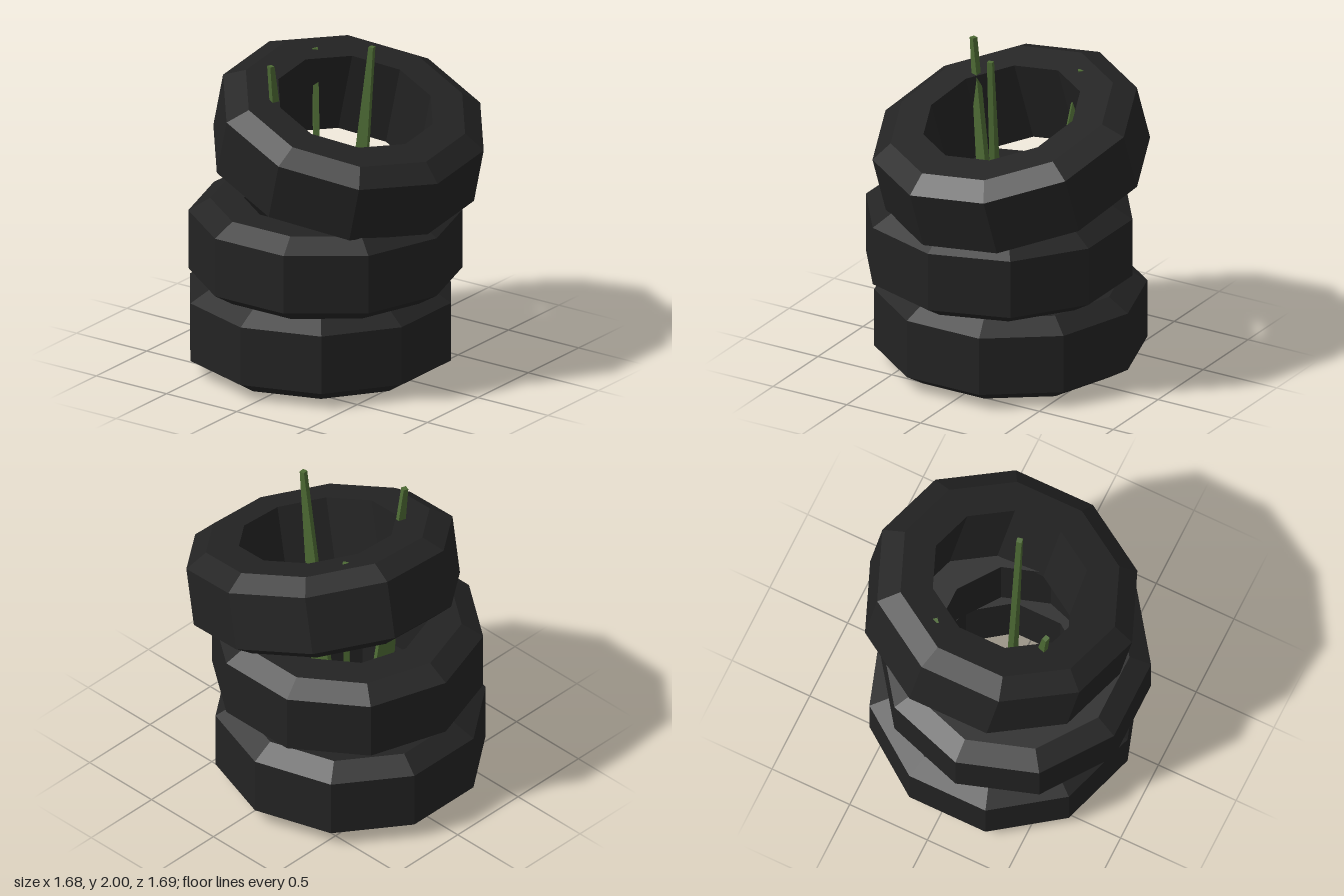
import * as THREE from 'three';

const rubber = new THREE.MeshStandardMaterial({ color: 0x232323 });
rubber.name = 'black rubber';
const leaf = new THREE.MeshStandardMaterial({ color: 0x4d6a34 });
leaf.name = 'grass green';

// Faceted ten-sided tyre, chamfered outside with a straight inner wall
function makeTyre(name, phase) {
  const profile = [
    [0.47, -0.255], [0.667, -0.255], [0.793, -0.178],
    [0.793, 0.178], [0.667, 0.255], [0.47, 0.255], [0.47, -0.255],
  ].map(([r, y]) => new THREE.Vector2(r, y));
  const geometry = new THREE.LatheGeometry(profile, 10, phase).toNonIndexed();
  geometry.computeVertexNormals();
  const mesh = new THREE.Mesh(geometry, rubber);
  mesh.name = name;
  return mesh;
}

// Flat grass blade: wide at the foot, narrow at the tip, leaning outward
function makeBlade(name, foot, tip, height) {
  const dx = tip[0] - foot[0], dz = tip[1] - foot[1];
  const reach = Math.hypot(dx, dz);
  const geometry = new THREE.BoxGeometry(1, 1, 1).toNonIndexed();
  const p = geometry.attributes.position;
  for (let i = 0; i < p.count; i++) {
    const outer = p.getX(i) > 0, top = p.getY(i) > 0;
    const r = top ? (outer ? reach : reach - 0.03) : (outer ? 0.165 : 0);
    const y = top ? height : (outer ? 0 : 0.015);
    p.setXYZ(i, r, y, p.getZ(i) * 0.033);
  }
  geometry.computeVertexNormals();
  const mesh = new THREE.Mesh(geometry, leaf);
  mesh.name = name;
  mesh.position.set(foot[0], 0, foot[1]);
  mesh.rotation.y = Math.atan2(-dz, dx);
  return mesh;
}

export function createModel() {
  const group = new THREE.Group();
  group.name = 'tyreStack';

  // Two level tyres
  const bottom = makeTyre('bottomTyre', 0);
  bottom.position.set(-0.085, 0.275, 0.05);
  const middle = makeTyre('middleTyre', Math.PI / 10);
  middle.position.set(-0.022, 0.785, 0.09);

  // Tilted tyre resting on top
  const top = makeTyre('topTyre', 0.055);
  top.position.set(0.052, 1.387, -0.037);
  const axis = new THREE.Vector3(0.272, 1, 0.097).normalize();
  top.quaternion.setFromUnitVectors(new THREE.Vector3(0, 1, 0), axis);
  group.add(bottom, middle, top);

  // Grass growing up through the middle
  group.add(
    makeBlade('leftGrassBlade', [-0.03, 0.037], [0.253, -0.012], 2),
    makeBlade('frontGrassBlade', [-0.107, 0.098], [-0.21, 0.39], 1.9),
    makeBlade('backGrassBlade', [-0.118, 0], [-0.36, -0.275], 1.785),
  );
  return group;
}
